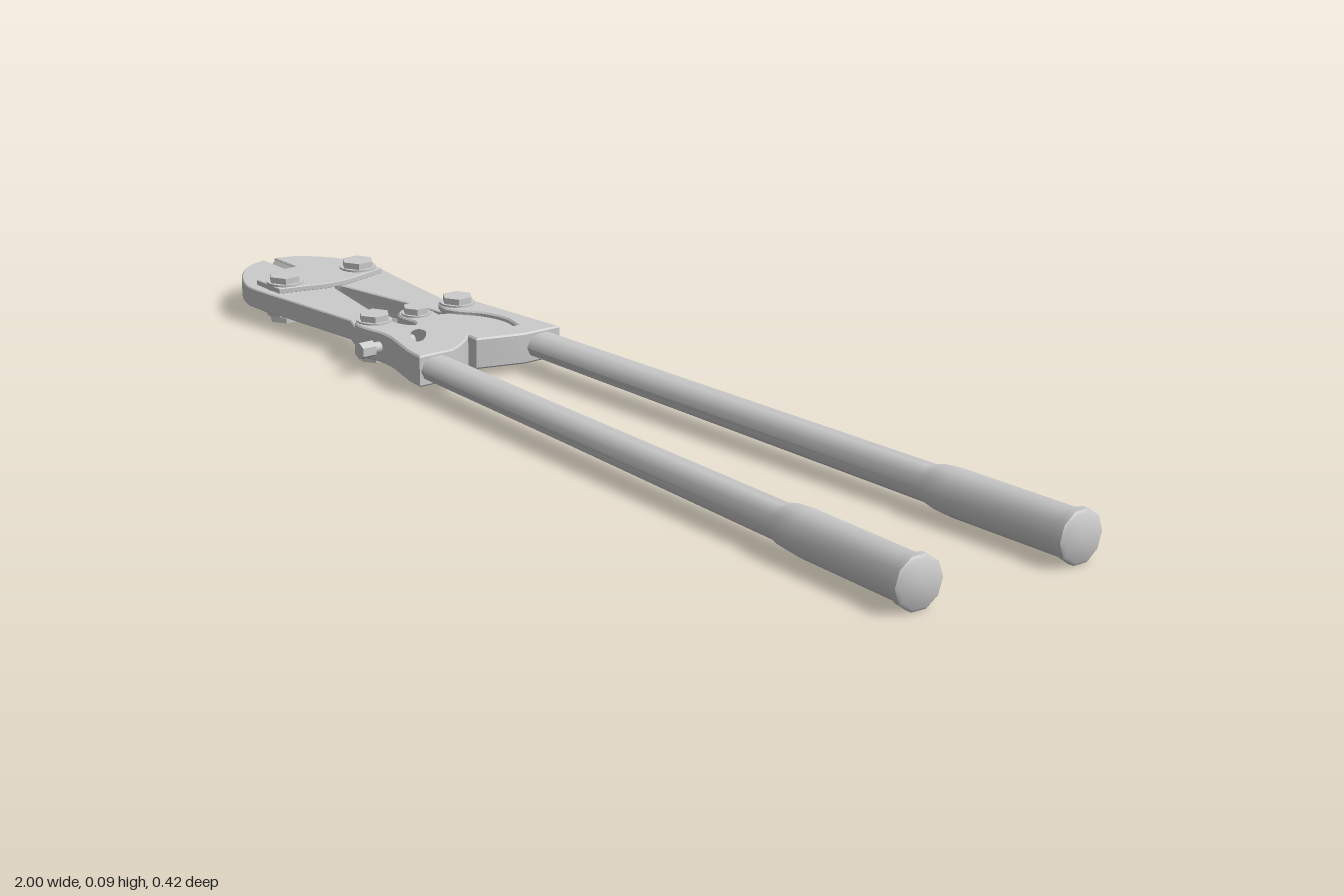
import * as THREE from 'three';
import { toCreasedNormals } from 'three/addons/utils/BufferGeometryUtils.js';

const MID = 0.047; // height of the tool's middle plane
const steel = new THREE.MeshStandardMaterial({ color: 0xcccccc });

function mesh(name, geometry, crease = 0.6) {
  const m = new THREE.Mesh(toCreasedNormals(geometry, crease), steel);
  m.name = name;
  return m;
}

// Flat part cut from an [x, z] outline, symmetric about the middle plane
function plate(name, points, half, { side = 1, bevel = 0.003, hole } = {}) {
  const toV = ([x, z]) => new THREE.Vector2(x, -z * side);
  const shape = new THREE.Shape(points.map(toV));
  if (hole) {
    const curve = new THREE.SplineCurve([...hole, hole[0]].map(toV));
    shape.holes.push(new THREE.Path(curve.getPoints(24).slice(0, -1)));
  }
  const g = new THREE.ExtrudeGeometry(shape, {
    depth: 2 * (half - bevel), bevelEnabled: bevel > 0,
    bevelThickness: bevel, bevelSize: bevel, bevelOffset: -bevel, bevelSegments: 1,
  });
  g.translate(0, 0, -(half - bevel));
  g.rotateX(-Math.PI / 2);
  g.translate(0, MID, 0);
  return mesh(name, g);
}

// Smooth run of points through the given [x, z] pairs
function smooth(points, n) {
  const curve = new THREE.SplineCurve(points.map(p => new THREE.Vector2(...p)));
  return curve.getPoints(n).map(p => [p.x, p.y]);
}

// Hex bolt passing through, with round washers top and bottom
function bolt(name, x, z, r, washerHalf) {
  const group = new THREE.Group();
  group.name = name;
  const hex = mesh('hexHead', new THREE.CylinderGeometry(r, r, 0.084, 6), 0.3);
  const washer = mesh('washer', new THREE.CylinderGeometry(r * 1.12, r * 1.12, washerHalf * 2, 20));
  group.add(hex, washer);
  group.position.set(x, MID, z);
  return group;
}

// Tapered tube with a thicker, flared grip
function handle(side) {
  const start = new THREE.Vector3(-0.33, MID, 0.112 * side);
  const end = new THREE.Vector3(1, MID, 0.165 * side);
  const length = start.distanceTo(end);
  const profile = [
    [0, 0], [0.034, 0], [0.032, 1.0], [0.037, 1.02], [0.04, 1.06], [0.041, length - 0.03],
    [0.046, length - 0.015], [0.046, length - 0.004], [0.041, length], [0, length],
  ].map(p => new THREE.Vector2(...p));
  const g = new THREE.LatheGeometry(profile, 10);
  g.rotateZ(-Math.PI / 2);
  // Flatten the tube towards the fitting
  const pos = g.attributes.position;
  for (let i = 0; i < pos.count; i++) {
    const t = Math.min(1, pos.getX(i) / 1.0);
    pos.setY(i, pos.getY(i) * (0.68 + 0.32 * t));
  }
  const m = mesh('handle', g, 0.7);
  m.position.copy(start);
  m.rotation.y = -Math.atan2(end.z - start.z, end.x - start.x);
  return m;
}

// Cutting edge: a wedge running along the nose of a jaw
function cuttingEdge(side) {
  const s = new THREE.Shape([[0.014, -0.017], [0.014, 0.017], [0.001, 0.002], [0.001, -0.002]]
    .map(([z, y]) => new THREE.Vector2(-z * side, y)));
  const g = new THREE.ExtrudeGeometry(s, { depth: 0.1, bevelEnabled: false });
  g.rotateY(Math.PI / 2);
  g.translate(-0.998, MID, 0);
  return mesh('cuttingEdge', g);
}

export function createModel() {
  const model = new THREE.Group();
  model.name = 'boltCutter';

  // Jaw outline: rounded nose, straight arm, rounded tail
  const jaw = [
    ...smooth([[-1, 0.012], [-0.985, 0.055], [-0.945, 0.095], [-0.89, 0.125], [-0.85, 0.131], [-0.77, 0.123]], 18),
    [-0.58, 0.104],
    ...smooth([[-0.55, 0.117], [-0.525, 0.121], [-0.5, 0.108], [-0.494, 0.09], [-0.505, 0.066], [-0.53, 0.054]], 12),
    [-0.57, 0.047], [-0.77, 0.009], [-0.78, 0.001], [-0.9, 0.001], [-0.9, 0.012],
  ];

  for (const side of [1, -1]) {
    model.add(
      plate('jaw', jaw, 0.018, { side, bevel: 0.002 }),
      cuttingEdge(side),
      handle(side),
      bolt('jawBolt', -0.825, 0.08 * side, 0.03, 0.031),
      bolt('linkBolt', -0.525, 0.09 * side, 0.028, 0.031),
    );
  }
  model.add(bolt('centreBolt', -0.515, 0.007, 0.024, 0.031));

  // Cover plates tying both jaws together, above and below
  const cover = [[-0.868, 0.112], [-0.9, 0.05], [-0.9, -0.05], [-0.868, -0.112], [-0.795, -0.112],
    [-0.772, -0.02], [-0.772, 0.02], [-0.795, 0.112]];
  for (const up of [1, -1]) {
    const p = plate('coverPlate', cover, 0.005, { bevel: 0.001 });
    p.position.y = 0.0225 * up;
    model.add(p);
  }

  // Front fitting: hooked casting around the centre pivot, with a slot
  model.add(plate('frontFitting', [
    ...smooth([[-0.55, -0.008], [-0.527, -0.027], [-0.484, -0.024], [-0.41, -0.016], [-0.36, 0.005],
      [-0.324, 0.043], [-0.302, 0.08]], 24),
    [-0.302, 0.15], [-0.345, 0.145],
    ...smooth([[-0.425, 0.124], [-0.46, 0.121], [-0.505, 0.128], [-0.537, 0.123], [-0.56, 0.092], [-0.54, 0.062],
      [-0.49, 0.064], [-0.463, 0.05], [-0.478, 0.036], [-0.527, 0.037], [-0.55, 0.018]], 36),
  ], 0.028, {
    hole: [[-0.44, 0.055], [-0.415, 0.053], [-0.377, 0.085], [-0.376, 0.106], [-0.41, 0.096], [-0.435, 0.075]],
  }));

  // Rear fitting: raised rib and stop block, with a thinner web to the pivot
  model.add(plate('rearFitting', [
    ...smooth([[-0.53, -0.056], [-0.553, -0.068], [-0.56, -0.09], [-0.545, -0.118], [-0.52, -0.124]], 12),
    [-0.36, -0.142], [-0.302, -0.15], [-0.302, -0.075], [-0.327, 0.012], [-0.357, 0.01],
    ...smooth([[-0.352, -0.095], [-0.4, -0.104], [-0.45, -0.092], [-0.49, -0.063], [-0.51, -0.054]], 14),
  ], 0.028));
  model.add(plate('rearWeb', [
    [-0.5, -0.07], [-0.45, -0.1], [-0.34, -0.12], [-0.34, 0.005], [-0.42, 0.01],
    [-0.49, 0.028], [-0.53, 0.02], [-0.535, -0.005], [-0.515, -0.03],
  ], 0.02));

  // Adjusting screw through the front fitting
  const screw = new THREE.Group();
  screw.name = 'adjustingScrew';
  const shank = mesh('screwShank', new THREE.CylinderGeometry(0.01, 0.01, 0.1, 14));
  shank.position.y = 0.1;
  const head = mesh('screwHead', new THREE.CylinderGeometry(0.015, 0.015, 0.028, 6), 0.3);
  head.position.y = 0.15;
  screw.add(shank, head);
  screw.rotation.x = Math.PI / 2;
  screw.position.set(-0.465, MID, 0);
  model.add(screw);

  return model;
}
